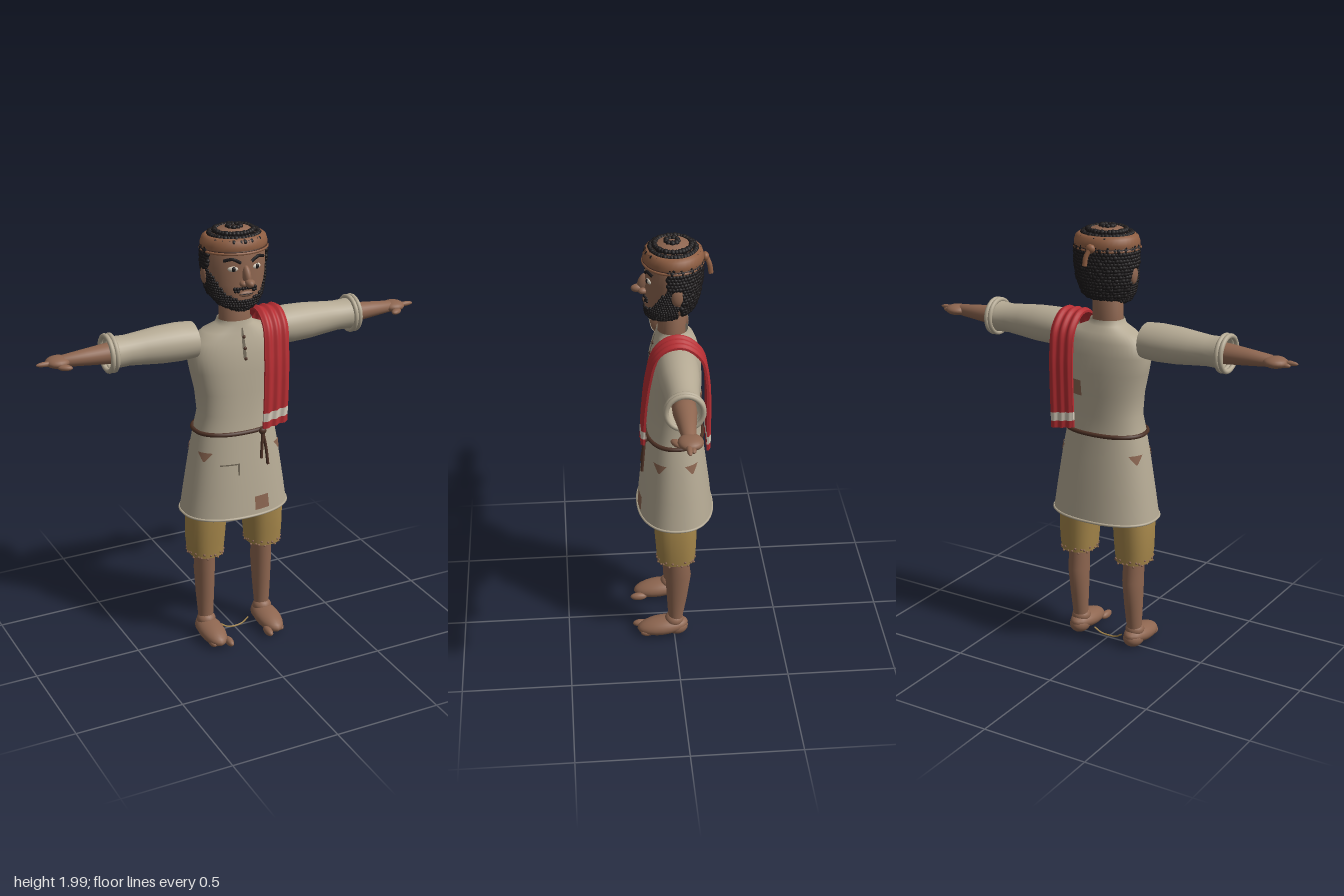
import * as THREE from 'three';
import { mergeGeometries } from 'three/addons/utils/BufferGeometryUtils.js';

const mat = (name, color, side = THREE.FrontSide) => {
  const m = new THREE.MeshStandardMaterial({ color, side });
  m.name = name;
  return m;
};

// Cross-section rows: [height, half width, front z, back z, centre x]
const TUNIC = [[0.665, 0.255, 0.16, -0.185], [0.8, 0.235, 0.147, -0.17], [0.95, 0.212, 0.13, -0.15],
  [1.07, 0.19, 0.115, -0.132], [1.15, 0.172, 0.108, -0.125], [1.25, 0.182, 0.106, -0.128],
  [1.35, 0.205, 0.105, -0.13], [1.43, 0.222, 0.1, -0.125], [1.49, 0.203, 0.086, -0.115],
  [1.53, 0.145, 0.076, -0.1], [1.555, 0.085, 0.07, -0.075], [1.58, 0.076, 0.066, -0.07]];
const HEAD = [[1.635, 0.03, 0.09, 0.01], [1.66, 0.085, 0.112, -0.05], [1.7, 0.115, 0.117, -0.09],
  [1.76, 0.132, 0.116, -0.11], [1.83, 0.138, 0.115, -0.12], [1.9, 0.138, 0.113, -0.122],
  [1.95, 0.118, 0.1, -0.11], [1.98, 0.07, 0.06, -0.07], [1.99, 0.01, 0.01, -0.01]];

// Point on one oval ring; e below 1 squares it off
function ringPoint([y, rx, zf, zb, cx = 0], a, e, grow = 0) {
  const pow = v => Math.sign(v) * Math.abs(v) ** e;
  const c = (zf + zb) / 2, rz = (zf - zb) / 2;
  return new THREE.Vector3(cx + (rx + grow) * pow(Math.cos(a)), y, c + (rz + grow) * pow(Math.sin(a)));
}

// Row interpolated at any height
function rowAt(rows, y) {
  let i = 0;
  while (i < rows.length - 2 && rows[i + 1][0] < y) i++;
  const t = (y - rows[i][0]) / (rows[i + 1][0] - rows[i][0]);
  return rows[i].map((v, k) => v + (rows[i + 1][k] - v) * t);
}

// Smooth skin through the rows, with optional end caps
function loft(rows, { n = 32, e = 1, caps = true } = {}) {
  const pos = [], idx = [];
  rows.forEach(r => {
    for (let j = 0; j < n; j++) pos.push(...ringPoint(r, j / n * Math.PI * 2, e));
  });
  for (let i = 0; i < rows.length - 1; i++) for (let j = 0; j < n; j++) {
    const a = i * n + j, b = i * n + (j + 1) % n;
    idx.push(a, a + n, b, b, a + n, b + n);
  }
  if (caps) [0, rows.length - 1].forEach((i, top) => {
    const [y, , zf, zb, cx = 0] = rows[i], c = pos.length / 3;
    pos.push(cx, y, (zf + zb) / 2);
    for (let j = 0; j < n; j++) {
      const a = i * n + j, b = i * n + (j + 1) % n;
      idx.push(c, ...(top ? [b, a] : [a, b]));
    }
  });
  const g = new THREE.BufferGeometry();
  g.setAttribute('position', new THREE.Float32BufferAttribute(pos, 3));
  g.setIndex(idx);
  g.computeVertexNormals();
  return g;
}

export function createModel() {
  const root = new THREE.Group();
  const skin = mat('skin', 0x8e6650), cloth = mat('tunic cloth', 0xb5aa94, THREE.DoubleSide);
  const red = mat('red sash', 0xb52d32), ochre = mat('ochre shorts', 0xa5864a, THREE.DoubleSide);
  const black = mat('black hair', 0x1b1819), rope = mat('dark rope', 0x4d3125);
  const brown = mat('patch brown', 0x8a6550, THREE.DoubleSide), white = mat('off white', 0xd2c8b8);
  const seam = mat('seam grey', 0x6f6656, THREE.DoubleSide), leather = mat('headband leather', 0x905f43);

  const add = (name, geo, m) => {
    const mesh = new THREE.Mesh(geo, m);
    mesh.name = name;
    root.add(mesh);
    return mesh;
  };
  const ball = (name, m, p, s, rot = [0, 0, 0]) => {
    const mesh = add(name, new THREE.SphereGeometry(1, 20, 14), m);
    mesh.position.set(...p);
    mesh.scale.set(...s);
    mesh.rotation.set(...rot);
    return mesh;
  };
  const tube = (name, m, pts, r, closed = false) => add(name, new THREE.TubeGeometry(
    new THREE.CatmullRomCurve3(pts.map(p => new THREE.Vector3(...p)), closed), closed ? 80 : 16, r, 7, closed), m);
  const beads = (name, m, pts, r, detail = 1) => add(name, mergeGeometries(pts.map((p, i) =>
    new THREE.IcosahedronGeometry(r * (0.85 + 0.3 * ((i * 0.618) % 1)), detail).translate(p.x, p.y, p.z))), m);

  // Tunic with hem, belt and front opening
  add('tunic', loft(TUNIC, { n: 48, e: 0.88, caps: false }), cloth);
  const ring = (rows, y, grow, e = 0.88) => Array.from({ length: 40 }, (_, i) =>
    ringPoint(rowAt(rows, y), i / 40 * Math.PI * 2, e, grow).toArray());
  tube('hem', cloth, ring(TUNIC, 0.668, 0), 0.006, true);
  tube('ropeBelt', rope, ring(TUNIC, 1.07, 0.004), 0.01, true);
  ball('beltKnot', rope, [0.08, 1.065, 0.125], [0.018, 0.016, 0.014]);
  tube('ropeTail', rope, [[0.08, 1.06, 0.128], [0.073, 1, 0.135], [0.066, 0.94, 0.142]], 0.007);
  tube('ropeTail', rope, [[0.08, 1.06, 0.128], [0.093, 0.98, 0.136], [0.099, 0.905, 0.143]], 0.007);

  // Thin sheet lying on the tunic; angles in degrees, taper 1 makes a triangle
  const patch = (name, m, a0, a1, y0, y1, taper = 0) => {
    const g = new THREE.PlaneGeometry(1, 1, 8, 6), p = g.attributes.position;
    for (let i = 0; i < p.count; i++) {
      const v = p.getY(i) + 0.5, y = y0 + (y1 - y0) * v;
      const a = (a0 + a1) / 2 + (a1 - a0) * p.getX(i) * (1 - taper * (1 - v));
      p.setXYZ(i, ...ringPoint(rowAt(TUNIC, y), a * Math.PI / 180, 0.88, 0.004));
    }
    g.computeVertexNormals();
    add(name, g, m);
  };
  patch('frontOpening', seam, 88.5, 91, 1.42, 1.55);
  for (const y of [1.415, 1.46, 1.51]) ball('button', rope, [0.006, y, ringPoint(rowAt(TUNIC, y), 1.55, 1).z + 0.003], [0.008, 0.008, 0.006]);
  for (const a of [32, 148, -25, 205]) patch('tornHole', brown, a - 14, a + 14, 0.943, 0.985, 0.9);
  patch('squarePatch', brown, 69, 85, 0.695, 0.76);
  patch('backPatch', brown, -74, -52, 1.24, 1.31);
  patch('pocketSeam', seam, 99, 123, 0.925, 0.931);
  patch('pocketSeam', seam, 98, 100, 0.875, 0.931);

  // Sash over the left shoulder, folded lengthwise
  const path = new THREE.CatmullRomCurve3([[0.135, 1.09, 0.143], [0.145, 1.25, 0.135], [0.155, 1.42, 0.115],
    [0.163, 1.54, 0.082], [0.165, 1.592, 0.02], [0.165, 1.592, -0.045], [0.163, 1.53, -0.115],
    [0.16, 1.42, -0.14], [0.155, 1.25, -0.147], [0.15, 1.08, -0.147]].map(p => new THREE.Vector3(...p)));
  const sash = (name, m, t0, t1, n) => {
    const g = new THREE.BoxGeometry(1, 1, 1, 18, n, 1), p = g.attributes.position;
    for (let i = 0; i < p.count; i++) {
      const u = p.getX(i), t = t0 + (t1 - t0) * (p.getY(i) + 0.5);
      const c = path.getPointAt(t), d = path.getTangentAt(t);
      const off = p.getZ(i) * 0.01 + 0.005 * Math.cos(u * Math.PI * 6);
      p.setXYZ(i, c.x + u * 0.12, c.y - d.z * off - u * 0.02 * Math.sign(d.y) * (Math.abs(t - 0.5) > 0.3 ? -1 : 0), c.z + d.y * off);
    }
    g.computeVertexNormals();
    add(name, g, m);
  };
  sash('sashEnd', red, 0, 0.028, 2);
  sash('sashStripe', white, 0.028, 0.062, 2);
  sash('sash', red, 0.062, 0.938, 48);
  sash('sashStripe', white, 0.938, 0.972, 2);
  sash('sashEnd', red, 0.972, 1, 2);

  // Limbs
  for (const s of [1, -1]) {
    const limb = (name, m, rows, caps = true) => {
      const g = loft(rows.map(([x, ry, rz = ry]) => [x, ry, rz - 0.005, -rz - 0.005]), { n: 28, caps });
      add(name, g.rotateZ(-s * Math.PI / 2).translate(0, 1.504, 0), m);
    };
    limb('sleeve', cloth, [[0.2, 0.08, 0.088], [0.27, 0.085, 0.09], [0.36, 0.082, 0.085], [0.44, 0.074, 0.075],
      [0.51, 0.067, 0.07], [0.56, 0.068, 0.075], [0.6, 0.074, 0.08]], false);
    for (const x of [0.582, 0.602]) {
      const cuff = add('cuff', new THREE.TorusGeometry(0.077, 0.011, 10, 32), cloth);
      cuff.rotation.y = Math.PI / 2;
      cuff.position.set(s * x, 1.504, -0.005);
    }
    limb('shoulder', skin, [[0.185, 0.04], [0.192, 0.066], [0.203, 0.078, 0.086], [0.25, 0.07]]);
    limb('forearm', skin, [[0.5, 0.05], [0.6, 0.045, 0.05], [0.7, 0.036, 0.038], [0.8, 0.026, 0.028]]);
    ball('hand', skin, [s * 0.822, 1.503, -0.008], [0.054, 0.025, 0.052]);
    ball('finger', skin, [s * 0.88, 1.505, 0.002], [0.042, 0.011, 0.012]);
    ball('finger', skin, [s * 0.865, 1.497, -0.015], [0.03, 0.011, 0.012]);
    ball('thumb', skin, [s * 0.81, 1.492, 0.045], [0.034, 0.013, 0.018], [0, s * 0.6, 0]);

    // Shorts with a frayed edge, leg and bare foot
    const x = s * 0.148, shorts = [[0.452, 0.08, 0.08, -0.095, x], [0.52, 0.087, 0.085, -0.1, x],
      [0.65, 0.092, 0.095, -0.105, x * 0.97], [0.9, 0.085, 0.095, -0.11, x * 0.8]];
    add('shortsLeg', loft(shorts, { n: 28, e: 0.85, caps: false }), ochre);
    beads('frayedEdge', brown, Array.from({ length: 34 }, (_, i) => {
      const p = ringPoint(shorts[0], i / 34 * Math.PI * 2, 0.85);
      p.y += 0.012 * Math.sin(i * 2.4) + 0.008;
      return p;
    }), 0.006);
    add('leg', loft([[0.06, 0.035, 0.03, -0.045, x], [0.11, 0.036, 0.028, -0.04, x], [0.22, 0.042, 0.035, -0.06, x],
      [0.35, 0.047, 0.042, -0.078, x], [0.45, 0.047, 0.042, -0.065, x], [0.7, 0.06, 0.06, -0.07, x]]), skin);
    ball('foot', skin, [s * 0.148, 0.055, 0.055], [0.06, 0.042, 0.122], [0.12, 0, 0]);
    ball('heel', skin, [s * 0.148, 0.05, -0.01], [0.048, 0.042, 0.056]);
    ball('ankle', skin, [s * 0.148, 0.09, 0], [0.045, 0.036, 0.045]);
    ball('bigToe', skin, [s * 0.103, 0.035, 0.155], [0.018, 0.019, 0.04]);
    ball('smallToe', skin, [s * 0.175, 0.033, 0.13], [0.018, 0.017, 0.032]);

    // Face details on each side
    ball('ear', skin, [s * 0.138, 1.79, -0.012], [0.015, 0.042, 0.026]);
    ball('eyeWhite', white, [s * 0.055, 1.832, 0.1], [0.024, 0.013, 0.012], [0, s * 0.3, 0]);
    ball('iris', black, [s * 0.055, 1.832, 0.108], [0.01, 0.011, 0.007]);
    tube('eyebrow', black, [[s * 0.025, 1.858, 0.114], [s * 0.06, 1.876, 0.107], [s * 0.095, 1.868, 0.087]], 0.007);
    ball('nostril', skin, [s * 0.018, 1.768, 0.126], [0.017, 0.014, 0.02]);
  }
  tube('looseStrand', ochre, [[-0.075, 0.04, 0], [-0.04, 0.018, 0.005], [0, 0.013, 0.008], [0.04, 0.018, 0.005], [0.075, 0.04, 0]], 0.004);

  // Neck and head
  add('neck', loft([[1.5, 0.085, 0.068, -0.065], [1.57, 0.072, 0.063, -0.06], [1.72, 0.07, 0.06, -0.065]]), skin);
  add('head', loft(HEAD, { n: 40 }), skin);
  ball('noseBridge', skin, [0, 1.802, 0.12], [0.018, 0.045, 0.026], [-0.35, 0, 0]);
  ball('noseTip', skin, [0, 1.774, 0.148], [0.019, 0.018, 0.028]);
  ball('lips', brown, [0, 1.718, 0.115], [0.034, 0.013, 0.011]);
  ball('mouthLine', black, [0, 1.719, 0.121], [0.032, 0.003, 0.007]);

  // Curly hair and beard placed over the head surface
  const hair = [], beard = [];
  const scatter = (list, step, grow, test) => {
    for (let y = 1.64, k = 0; y < 1.992; y += step, k++) {
      const row = rowAt(HEAD, y);
      const n = Math.max(4, Math.round(Math.PI * (row[1] + (row[2] - row[3]) / 2) / step));
      for (let j = 0; j < n; j++) {
        const p = ringPoint(row, (j + (k % 2) / 2) / n * Math.PI * 2, 1, grow);
        if (test(p.x, p.y, p.z)) list.push(p);
      }
    }
  };
  scatter(hair, 0.0145, 0.005, (x, y, z) => y > 1.93 || (y > 1.675 && z < -0.03) || (y > 1.815 && z < 0.025));
  scatter(beard, 0.0115, 0.002, (x, y, z) => z > -0.02 && (y < 1.695 + 0.13 * (Math.abs(x) / 0.138) ** 3
    || (Math.abs(x) < 0.055 && Math.abs(y - 1.748 + Math.abs(x) * 0.25) < 0.009)));
  beads('curlyHair', black, hair, 0.0125);
  beads('beard', black, beard, 0.0075);

  // Headband with a knot and tail at the back
  add('headband', loft([[1.893, 0.136, 0.112, -0.122], [1.897, 0.147, 0.122, -0.134], [1.925, 0.15, 0.124, -0.137],
    [1.95, 0.142, 0.117, -0.13], [1.962, 0.125, 0.104, -0.115], [1.955, 0.115, 0.095, -0.105]], { n: 40, caps: false }), leather);
  tube('headbandCord', leather, ring(HEAD, 1.9, 0.011, 1), 0.006, true);
  tube('headbandLine', rope, ring(HEAD, 1.908, 0.013, 1), 0.0028, true);
  ball('headbandKnot', leather, [0, 1.912, -0.143], [0.022, 0.02, 0.016]);
  tube('headbandTail', leather, [[0, 1.91, -0.147], [0.012, 1.88, -0.16], [0.016, 1.84, -0.166]], 0.011);

  return root;
}
